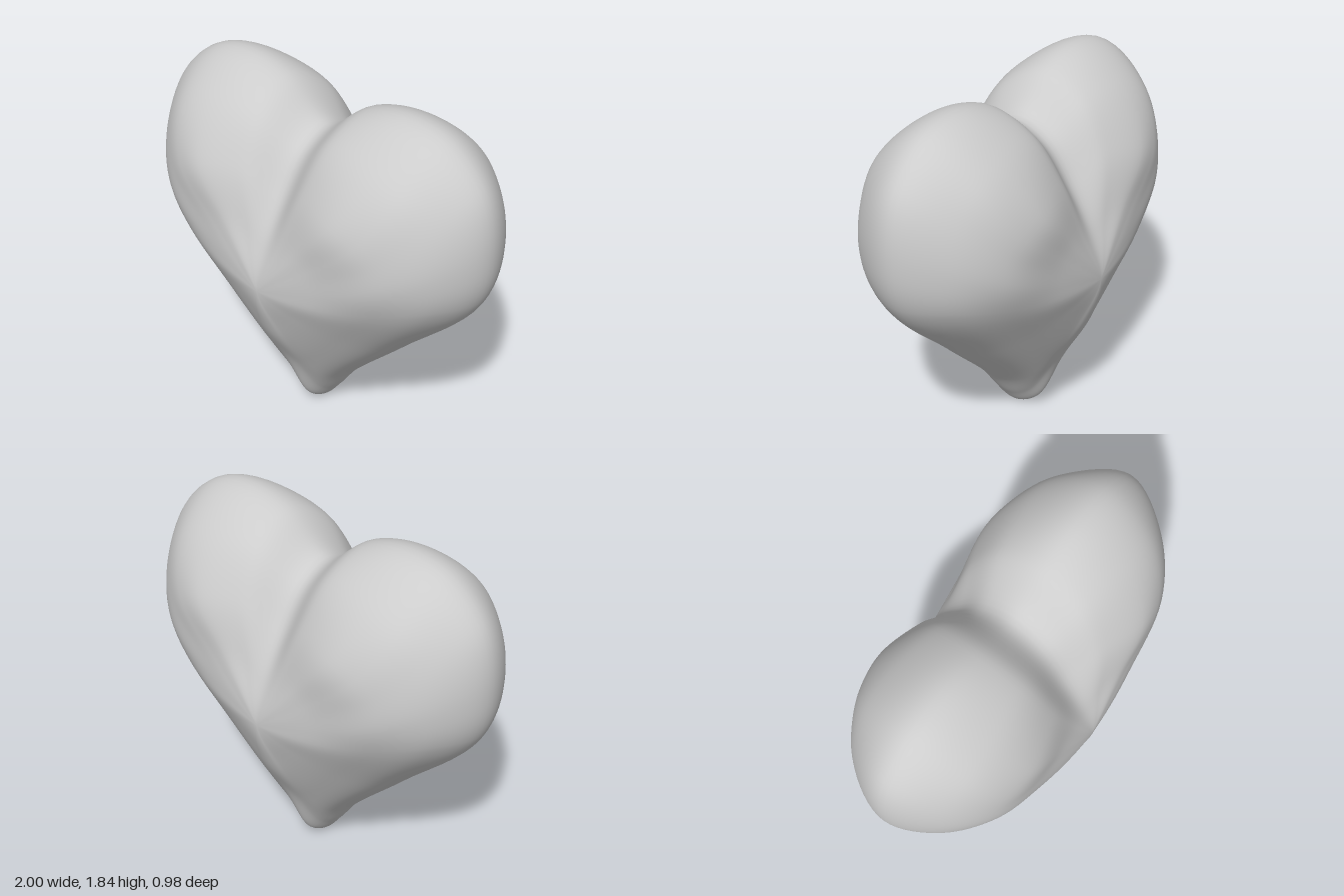
import * as THREE from 'three';
import { mergeVertices } from 'three/addons/utils/BufferGeometryUtils.js';

// Ribs of the right-hand front quarter, running from the centre of the face to the rim (z = 0).
// Ordered from the notch, over the lobe, down to the tip.
const RIBS = [
  [[0, 1.12, 0.43], [0, 1.35, 0.31], [0, 1.54, 0.17], [0, 1.615, 0]],
  [[0.1, 1.16, 0.44], [0.19, 1.45, 0.375], [0.23, 1.68, 0.23], [0.25, 1.785, 0]],
  [[0.22, 1.17, 0.467], [0.42, 1.42, 0.445], [0.5, 1.69, 0.27], [0.5, 1.84, 0]],
  [[0.29, 1.13, 0.47], [0.56, 1.36, 0.44], [0.7, 1.62, 0.28], [0.74, 1.79, 0]],
  [[0.32, 1.08, 0.47], [0.64, 1.28, 0.42], [0.84, 1.47, 0.25], [0.94, 1.6, 0]],
  [[0.34, 1.01, 0.467], [0.66, 1.14, 0.41], [0.88, 1.24, 0.25], [1, 1.3, 0]],
  [[0.33, 0.93, 0.46], [0.62, 0.99, 0.38], [0.84, 1.03, 0.23], [0.94, 1.02, 0]],
  [[0.2, 0.8, 0.44], [0.36, 0.71, 0.345], [0.49, 0.64, 0.21], [0.55, 0.605, 0]],
  [[0.08, 0.68, 0.42], [0.13, 0.45, 0.295], [0.17, 0.29, 0.165], [0.2, 0.25, 0]],
  [[0.04, 0.65, 0.42], [0.06, 0.4, 0.285], [0.075, 0.14, 0.12], [0.085, 0.09, 0]],
  [[0, 0.64, 0.42], [0, 0.38, 0.28], [0, 0.07, 0.135], [0, 0, 0]],
];
const CENTRE = [0, 0.9, 0.49];
const ALONG = 64;
const AROUND = 160;

const spline = (points, closed) => new THREE.CatmullRomCurve3(points, closed, 'centripetal');

// Smooth curve from the front centre over the rim to the back centre
function ribCurve(rib) {
  const [mx, my, mz] = rib[0];
  const ghost = [-mx, 2 * CENTRE[1] - my, mz]; // keeps the face smooth at its centre
  const front = [ghost, CENTRE, ...rib];
  const back = front.slice(0, -1).reverse().map(([x, y, z]) => [x, y, -z]);
  return spline([...front, ...back].map((p) => new THREE.Vector3(...p)), false);
}

function heartGeometry() {
  const mirrored = RIBS.slice(1, -1).reverse().map((rib) => rib.map(([x, y, z]) => [-x, y, z]));
  const curves = [...RIBS, ...mirrored].map(ribCurve);
  const positions = [];
  const index = [];

  // Closed rings across all ribs
  for (let j = 0; j <= ALONG; j++) {
    const t = 0.1 + 0.8 * (j / ALONG);
    const ring = spline(curves.map((c) => c.getPoint(t)), true);
    for (let i = 0; i < AROUND; i++) {
      const pole = j === 0 || j === ALONG;
      const p = pole ? new THREE.Vector3(0, CENTRE[1], j ? -CENTRE[2] : CENTRE[2]) : ring.getPoint(i / AROUND);
      positions.push(p.x, p.y, p.z);
    }
  }
  for (let j = 0; j < ALONG; j++) {
    for (let i = 0; i < AROUND; i++) {
      const a = j * AROUND + i;
      const b = j * AROUND + ((i + 1) % AROUND);
      const c = a + AROUND;
      const d = b + AROUND;
      if (j > 0) index.push(a, b, c);
      if (j === 0) index.push(a, d, c);
      else if (j < ALONG - 1) index.push(b, d, c);
    }
  }
  let geometry = new THREE.BufferGeometry();
  geometry.setAttribute('position', new THREE.Float32BufferAttribute(positions, 3));
  geometry.setIndex(index);
  geometry = mergeVertices(geometry);
  geometry.computeVertexNormals();
  return geometry;
}

export function createModel() {
  const group = new THREE.Group();
  group.name = 'heart';
  const grey = new THREE.MeshStandardMaterial({ color: 0xcccccc });
  grey.name = 'light grey';
  const body = new THREE.Mesh(heartGeometry(), grey);
  body.name = 'heartBody';
  group.add(body);
  return group;
}
